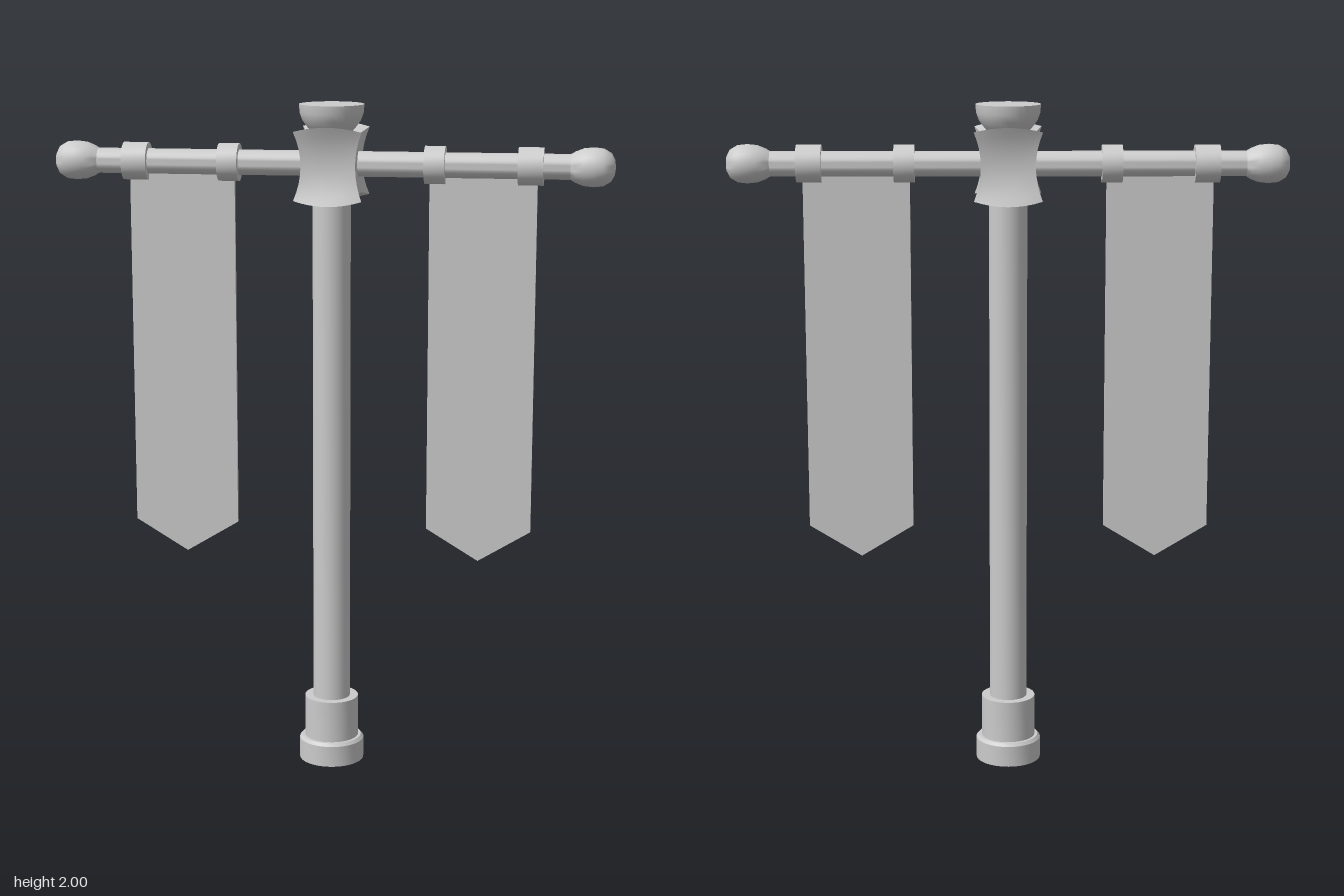
import * as THREE from 'three';
import { toCreasedNormals } from 'three/addons/utils/BufferGeometryUtils.js';

const material = new THREE.MeshStandardMaterial({ color: 0xcccccc });
const BAR_Y = 1.828;

function add(parent, name, geometry) {
  const mesh = new THREE.Mesh(geometry, material);
  mesh.name = name;
  parent.add(mesh);
  return mesh;
}

// Turned part from [radius, height] pairs, bottom to top, with crisp edges
function turned(profile) {
  const points = profile.map(([r, h]) => new THREE.Vector2(r, h));
  return toCreasedNormals(new THREE.LatheGeometry(points, 32), 0.7);
}

// Same, but turned along +x or -x
function turnedAlongX(profile, side) {
  return turned(profile).rotateZ(-side * Math.PI / 2).translate(0, BAR_Y, 0);
}

// Block with hollowed faces and flared corners
function flaredBlock() {
  const geometry = new THREE.BoxGeometry(2, 2, 2, 8, 8, 8);
  const p = geometry.attributes.position;
  for (let i = 0; i < p.count; i++) {
    const u = p.getX(i), v = p.getY(i), w = p.getZ(i);
    const uu = u * u, vv = v * v, ww = w * w;
    p.setXYZ(i,
      u * (0.079 + 0.02 * vv * ww),
      v * (0.086 + 0.027 * ww - 0.014 * uu * ww),
      w * (0.085 + 0.028 * vv - 0.013 * uu * vv));
  }
  geometry.computeVertexNormals();
  return geometry.translate(0, BAR_Y, 0);
}

// Thin hanging cloth with a pointed lower edge
function bannerCloth(side) {
  const shape = new THREE.Shape();
  shape.moveTo(-0.156, BAR_Y);
  shape.lineTo(-0.156, 0.74);
  shape.lineTo(0, 0.645);
  shape.lineTo(0.156, 0.74);
  shape.lineTo(0.156, BAR_Y);
  shape.closePath();
  const depth = 0.012;
  return new THREE.ExtrudeGeometry(shape, { depth, bevelEnabled: false })
    .translate(side * 0.442, 0, -depth / 2);
}

export function createModel() {
  const model = new THREE.Group();
  model.name = 'bannerPost';

  // Upright with its stepped foot
  add(model, 'foot', turned([[0, 0], [0.098, 0], [0.098, 0.064], [0.09, 0.073], [0, 0.073]]));
  add(model, 'sleeve', turned([[0.081, 0.06], [0.081, 0.2], [0.05, 0.2]]));
  add(model, 'pole', turned([[0.056, 0.18], [0.056, 1.8]]));

  // Head block and flat-topped cap
  add(model, 'headBlock', flaredBlock());
  add(model, 'cap', turned([[0, 1.9], [0.05, 1.91], [0.07, 1.933], [0.085, 1.953],
    [0.093, 1.975], [0.095, 2], [0, 2]]));

  // Arms, rings, end knobs and banners on both sides
  for (const side of [1, -1]) {
    const arm = new THREE.Group();
    arm.name = side > 0 ? 'leftArm' : 'rightArm';
    model.add(arm);
    add(arm, 'bar', turnedAlongX([[0.037, 0], [0.037, 0.72]], side));
    for (const [a, b] of [[0.272, 0.332], [0.542, 0.615]]) {
      add(arm, 'ring', turnedAlongX([[0.03, a], [0.055, a], [0.055, b], [0.03, b]], side));
    }
    add(arm, 'knob', turnedAlongX([[0.036, 0.69], [0.045, 0.705], [0.054, 0.728], [0.057, 0.757],
      [0.054, 0.785], [0.041, 0.807], [0.022, 0.817], [0, 0.82]], side));
    add(arm, 'banner', bannerCloth(side));
  }
  return model;
}
